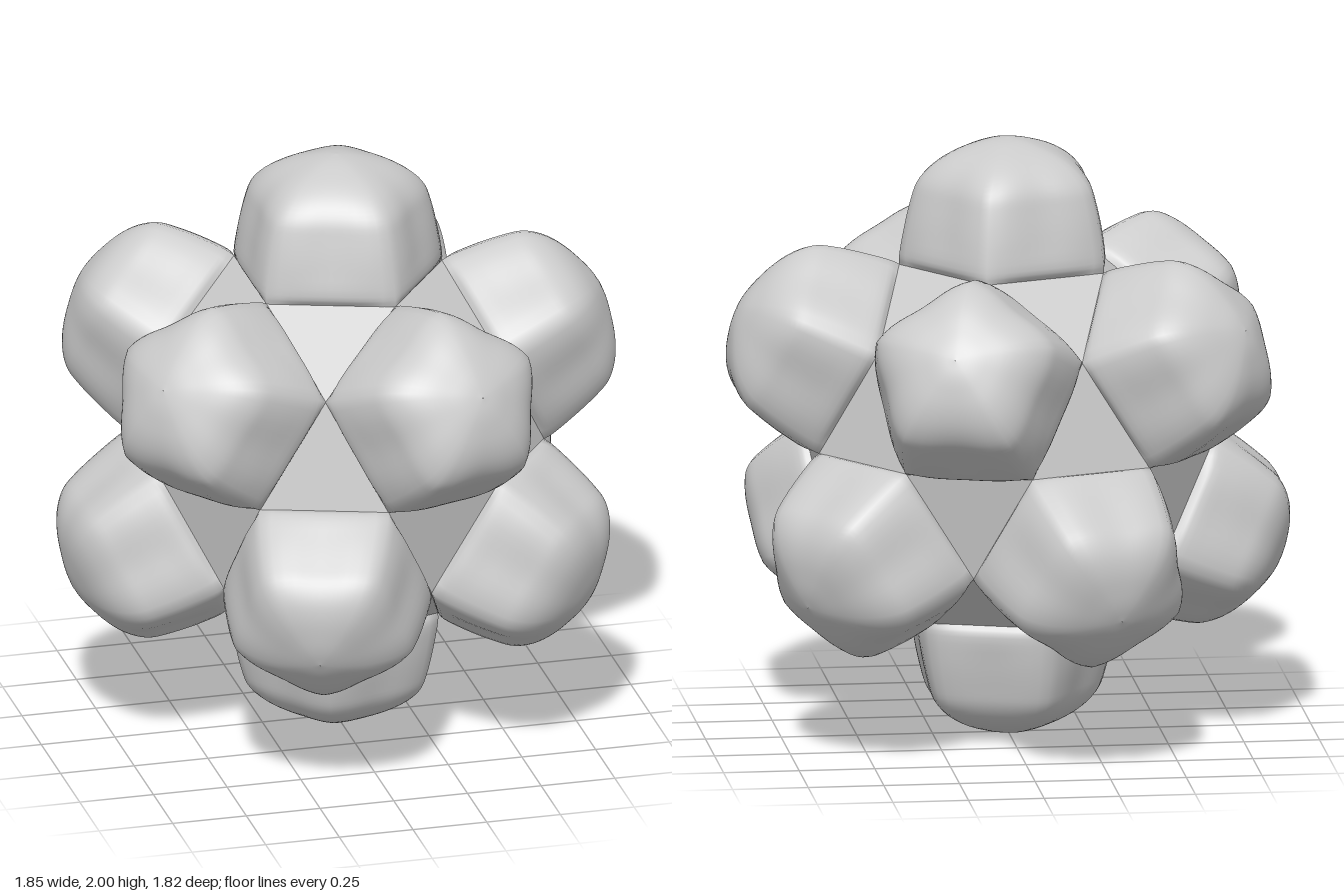
import * as THREE from 'three';
import { ConvexGeometry } from 'three/addons/geometries/ConvexGeometry.js';

const CORE_RADIUS = 0.684;
const SEGMENTS = 60;
const RINGS = 32;

// Twelve directions of an icosahedron standing on a corner
function makeAxes() {
  const axes = [new THREE.Vector3(0, 1, 0), new THREE.Vector3(0, -1, 0)];
  const y = 1 / Math.sqrt(5), r = 2 * y;
  for (let i = 0; i < 10; i++) {
    const a = (i * Math.PI) / 5;
    axes.push(new THREE.Vector3(r * Math.cos(a), i % 2 ? -y : y, r * Math.sin(a)));
  }
  return axes;
}

const adjacent = (a, b) => Math.abs(a.dot(b) - 1 / Math.sqrt(5)) < 0.01;

// Rounded pentagonal knob: each section is (height, radius at side, radius at corner)
function makeKnobGeometry() {
  const sections = [
    [0.58, 0.291, 0.36], [0.61, 0.308, 0.36], [0.7, 0.295, 0.345],
    [0.8, 0.273, 0.322], [0.86, 0.256, 0.3], [0.91, 0.222, 0.255],
    [0.95, 0.17, 0.19], [0.98, 0.1, 0.107], [0.994, 0.05, 0.052], [1, 0.001, 0.001],
  ];
  const rings = new THREE.CatmullRomCurve3(sections.map((s) => new THREE.Vector3(...s))).getPoints(RINGS);
  const positions = [], indices = [];
  const sector = (2 * Math.PI) / 5;
  rings.forEach(({ x: h, y: side, z: corner }, j) => {
    const softness = Math.min(0.6, j * 0.08);
    for (let i = 0; i < SEGMENTS; i++) {
      const a = (i / SEGMENTS) * 2 * Math.PI;
      const t = (a % sector) - sector / 2;
      const sharp = (1 / Math.cos(t) - 1) / (1 / Math.cos(sector / 2) - 1);
      const soft = 0.5 + 0.5 * Math.cos(5 * a);
      const r = side + (corner - side) * THREE.MathUtils.lerp(sharp, soft, softness);
      positions.push(r * Math.cos(a), h, r * Math.sin(a));
      if (j < RINGS) {
        const p = j * SEGMENTS + i, n = j * SEGMENTS + ((i + 1) % SEGMENTS);
        indices.push(p, p + SEGMENTS, n, n, p + SEGMENTS, n + SEGMENTS);
      }
    }
  });
  const geometry = new THREE.BufferGeometry();
  geometry.setAttribute('position', new THREE.Float32BufferAttribute(positions, 3));
  geometry.setIndex(indices);
  geometry.computeVertexNormals();
  return geometry;
}

export function createModel() {
  const model = new THREE.Group();
  model.name = 'knobbedBall';
  const material = new THREE.MeshStandardMaterial({ color: 0xcccccc });
  const axes = makeAxes();

  // Core: icosidodecahedron with corners midway between neighbouring knobs
  const corners = [];
  axes.forEach((a, i) => axes.slice(i + 1).forEach((b) => {
    if (adjacent(a, b)) corners.push(a.clone().add(b).setLength(CORE_RADIUS));
  }));
  const core = new THREE.Mesh(new ConvexGeometry(corners), material);
  core.name = 'core';
  core.position.y = 1;
  model.add(core);

  // Knobs: one on every pentagon, its corners turned towards its neighbours
  const geometry = makeKnobGeometry();
  axes.forEach((axis, i) => {
    const neighbour = axes.find((b) => adjacent(axis, b));
    const x = neighbour.clone().addScaledVector(axis, -neighbour.dot(axis)).normalize();
    const z = x.clone().cross(axis);
    const knob = new THREE.Mesh(geometry, material);
    knob.name = `knob${i + 1}`;
    knob.quaternion.setFromRotationMatrix(new THREE.Matrix4().makeBasis(x, axis, z));
    knob.position.y = 1;
    model.add(knob);
  });
  return model;
}
